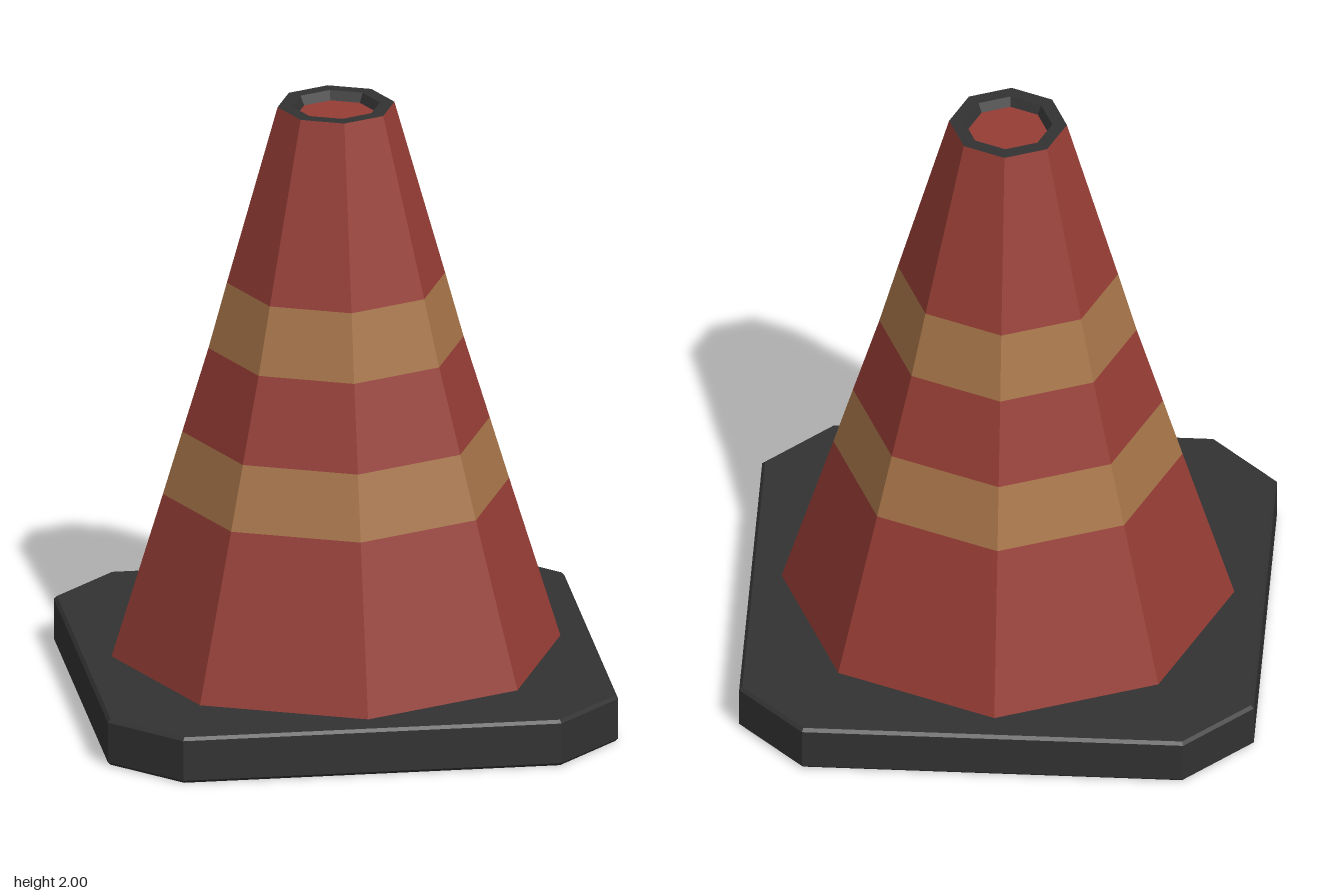
import * as THREE from 'three';

const paint = (name, color) => {
  const m = new THREE.MeshStandardMaterial({ color });
  m.name = name;
  return m;
};

export function createModel() {
  const red = paint('faded red', 0x963d35);
  const tan = paint('tan band', 0xa67448);
  const dark = paint('dark rubber', 0x323232);

  const model = new THREE.Group();
  model.name = 'trafficCone';

  const add = (name, geometry, material) => {
    const mesh = new THREE.Mesh(geometry, material);
    mesh.name = name;
    model.add(mesh);
    return mesh;
  };

  // Eight-sided faceted ring through [radius, height] points, corners on the axes
  const ring = (points) => {
    const g = new THREE.LatheGeometry(points.map(([r, y]) => new THREE.Vector2(r, y)), 8).toNonIndexed();
    g.computeVertexNormals();
    return g;
  };

  // Base: square slab with cut corners and a fine bevel
  const H = 0.83, C = 0.615, bevel = 0.01, height = 0.155;
  const outline = new THREE.Shape([
    [H, -C], [H, C], [C, H], [-C, H], [-H, C], [-H, -C], [-C, -H], [C, -H],
  ].map(([x, y]) => new THREE.Vector2(x, y)));
  const slab = new THREE.ExtrudeGeometry(outline, {
    depth: height - 2 * bevel, bevelEnabled: true, bevelSegments: 1,
    bevelThickness: bevel, bevelSize: bevel, bevelOffset: -bevel,
  });
  slab.rotateX(-Math.PI / 2).translate(0, bevel, 0);
  add('base', slab, dark);

  // Cone body: stacked sections, alternating red and tan
  const profile = [[0.73, height], [0.563, 0.7], [0.5, 0.91], [0.415, 1.19], [0.355, 1.41], [0.19, 2]];
  const names = ['lowerCone', 'lowerBand', 'middleCone', 'upperBand', 'upperCone'];
  names.forEach((name, i) => add(name, ring([profile[i], profile[i + 1]]), i % 2 ? tan : red));

  // Dark rim on top, dropping into a shallow recess
  add('topRim', ring([[0.19, 2], [0.143, 2]]), dark);
  add('recessWall', ring([[0.143, 2], [0.128, 1.97]]), dark);

  // Recess floor
  add('recessFloor', new THREE.CircleGeometry(0.128, 8).rotateX(-Math.PI / 2).translate(0, 1.97, 0), red);

  return model;
}
